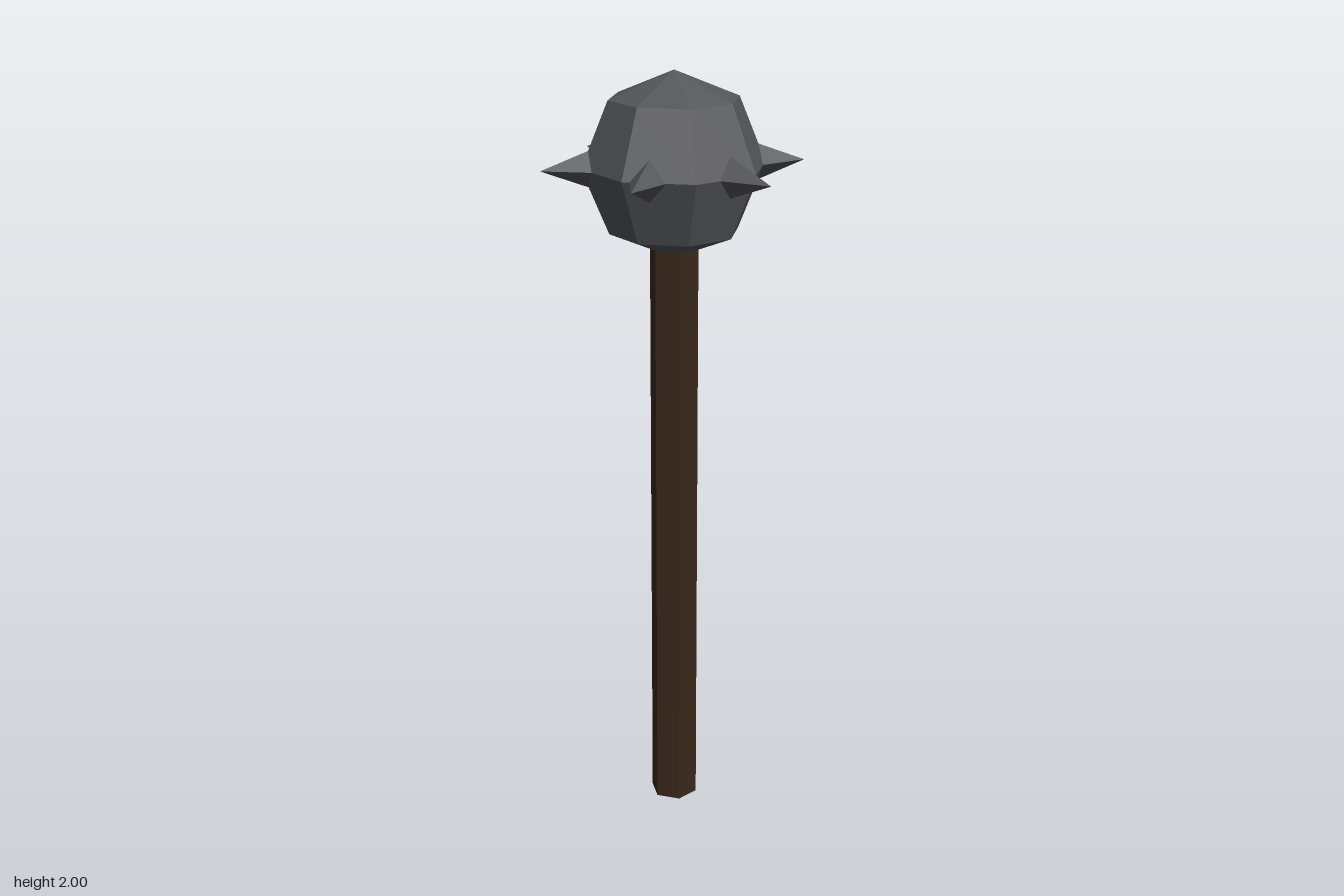
import * as THREE from 'three';

export function createModel() {
  const group = new THREE.Group();
  const iron = new THREE.MeshStandardMaterial({ color: 0x55565a, flatShading: true });
  const wood = new THREE.MeshStandardMaterial({ color: 0x3a281c, flatShading: true });
  const headRadius = 0.2325, headY = 2 - headRadius, tipRadius = 0.333;

  const add = (name, geometry, material, y) => {
    const mesh = new THREE.Mesh(geometry, material);
    mesh.name = name;
    mesh.position.y = y;
    group.add(mesh);
    return mesh;
  };

  // Hexagonal handle, its top end sunk into the head
  const handleHeight = 1.6;
  add('handle', new THREE.CylinderGeometry(0.0635, 0.0635, handleHeight, 6), wood, handleHeight / 2);

  // Faceted ball
  add('head', new THREE.SphereGeometry(headRadius, 8, 4), iron, headY);

  // Six four-sided spikes around the equator, bases buried in the ball
  const spikeLength = 0.2;
  const spike = new THREE.ConeGeometry(0.075, spikeLength, 4)
    .rotateZ(-Math.PI / 2)
    .translate(tipRadius - spikeLength / 2, 0, 0);
  for (let i = 0; i < 6; i++) {
    add('spike' + (i + 1), spike, iron, headY).rotation.y = (i * Math.PI) / 3;
  }
  return group;
}
